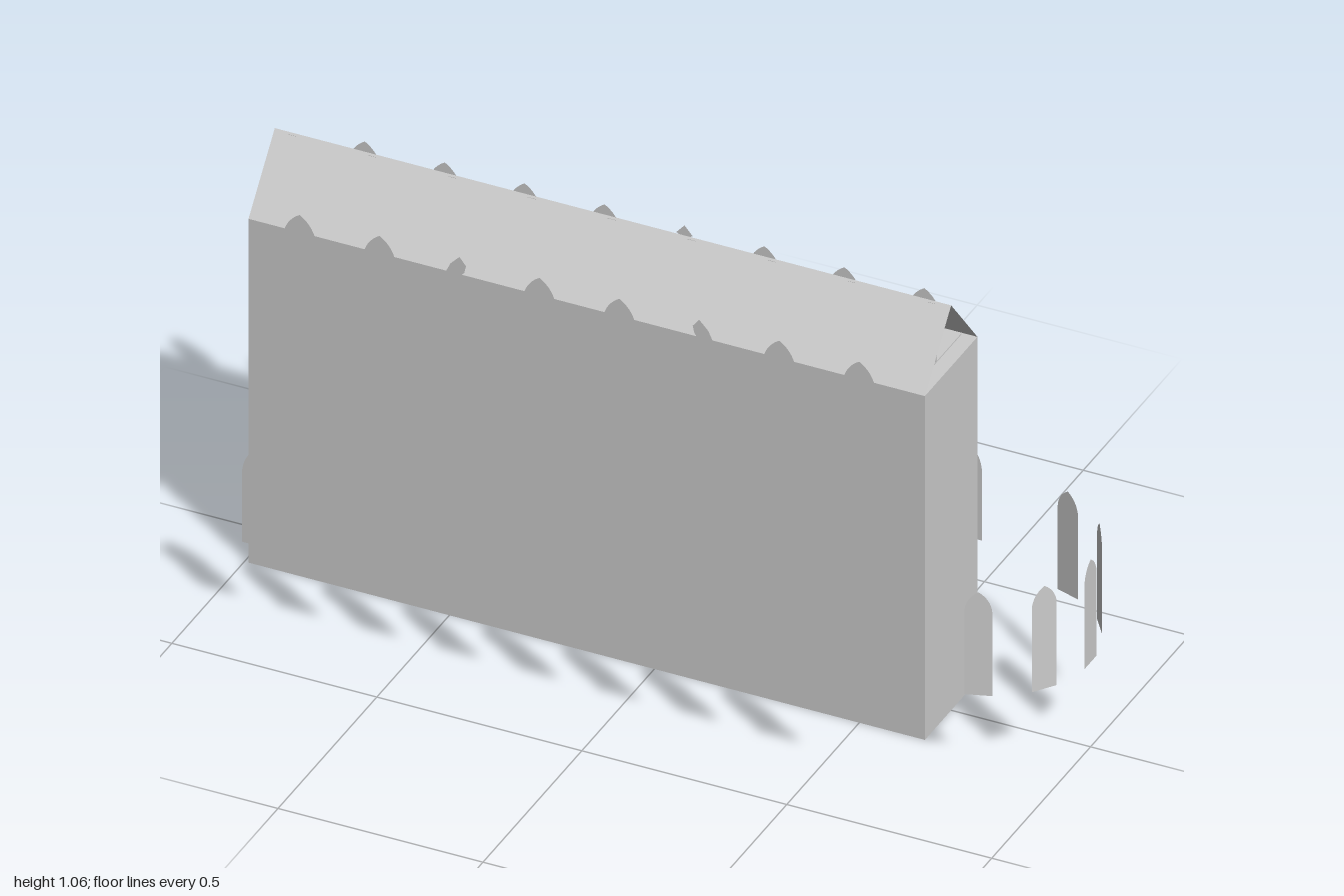
import * as THREE from 'three';

export function createModel() {
  const model = new THREE.Group();
  const stone = new THREE.MeshStandardMaterial({ color: 0xcccccc, side: THREE.DoubleSide });
  stone.name = 'paleStone';

  const X0 = -0.99, X1 = 0.66, HALF = 0.133, EAVE = 0.9, RIDGE = 1.06;
  const MID = (X0 + X1) / 2, LENGTH = X1 - X0, BAY = 0.195;

  function add(name, geometry, x = 0, y = 0, z = 0, turn = 0) {
    const mesh = new THREE.Mesh(geometry, stone);
    mesh.name = name;
    mesh.position.set(x, y, z);
    mesh.rotation.y = turn;
    model.add(mesh);
    return mesh;
  }

  // Flat pane with an equilateral pointed arch, each side struck from the opposite springing
  function lancet(half, bottom, top) {
    const spring = top - half * Math.sqrt(3);
    const s = new THREE.Shape();
    s.moveTo(-half, bottom);
    s.lineTo(half, bottom);
    s.lineTo(half, spring);
    s.absarc(-half, spring, 2 * half, 0, Math.PI / 3, false);
    s.absarc(half, spring, 2 * half, Math.PI * 2 / 3, Math.PI, false);
    s.closePath();
    return new THREE.ShapeGeometry(s, 6);
  }
  const pane = (points) =>
    new THREE.ShapeGeometry(new THREE.Shape(points.map(([x, y]) => new THREE.Vector2(x, y))));

  // Nave walls
  add('naveWalls', new THREE.BoxGeometry(LENGTH, EAVE, 2 * HALF), MID, EAVE / 2, 0);

  // Two thin roof slopes, open at the gables
  const rise = RIDGE - EAVE, slope = Math.hypot(rise, HALF);
  for (const side of [1, -1]) {
    const g = new THREE.PlaneGeometry(LENGTH, slope);
    g.rotateX(-Math.atan2(HALF, rise));
    if (side < 0) g.rotateY(Math.PI);
    add(side > 0 ? 'frontRoofSlope' : 'backRoofSlope', g, MID, (EAVE + RIDGE) / 2, side * HALF / 2);
  }

  // Roof truss posts and ties
  for (let i = 0; i < 9; i++) {
    const x = -0.946 + i * BAY;
    add('trussPost', new THREE.BoxGeometry(0.02, 0.156, 0.008), x, EAVE + 0.078, 0);
    add('trussTie', new THREE.BoxGeometry(0.02, 0.004, 2 * HALF - 0.01), x, EAVE + 0.001, 0);
  }

  // Aisle windows stand clear of the walls, clerestory windows close to them
  const aisle = lancet(0.049, 0.21, 0.473);
  const clerestory = lancet(0.04, 0.805, 0.968);
  const halfPane = (m) => pane([[-0.04, 0.805], [0, 0.805], [0, 0.915], [0.012, 0.93],
    [0.016, 0.948], [0, 0.968], [-0.022, 0.945], [-0.036, 0.915], [-0.04, 0.898]]
    .map(([x, y]) => [x * m, y]));
  const fragment = pane([[0, 0.968], [-0.02, 0.945], [-0.003, 0.935], [-0.003, 0.9],
    [0.003, 0.9], [0.003, 0.935], [0.02, 0.945]]);
  for (let i = 0; i < 8; i++) {
    const x = -0.85 + i * BAY;
    for (const side of [1, -1]) {
      const turn = side > 0 ? 0 : Math.PI;
      add('aisleWindow', aisle, x, 0, side * 0.355, turn);
      let g = clerestory;
      if (side > 0 && i === 2) g = halfPane(1);
      if (side > 0 && i === 5) g = halfPane(-1);
      if (side < 0 && i === 4) g = fragment;
      add('clerestoryWindow', g, x, 0, side * 0.165, turn);
    }
  }

  // Ring of five apse windows
  const apse = lancet(0.031, 0.221, 0.49);
  for (let i = -2; i <= 2; i++) {
    const a = i * Math.PI / 5;
    add('apseWindow', apse, 0.762 + 0.238 * Math.cos(a), 0, 0.238 * Math.sin(a), Math.PI / 2 - a);
  }

  // Large window on the end wall
  add('endWindow', lancet(0.095, 0.434, 0.835), -1, 0, 0, -Math.PI / 2);

  return model;
}
